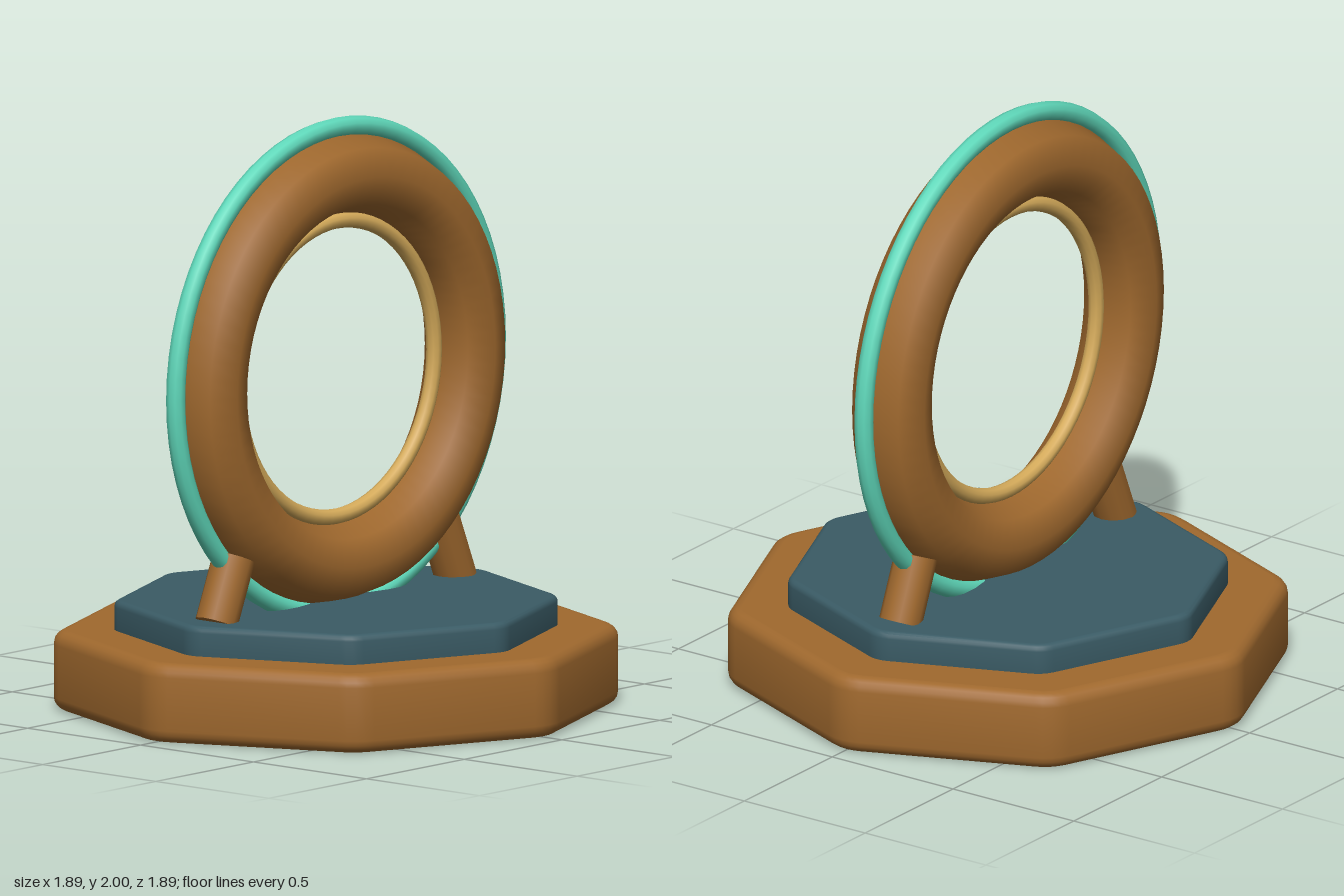
import * as THREE from 'three';
import { toCreasedNormals } from 'three/addons/utils/BufferGeometryUtils.js';

const RING_Y = 1.147;

// Octagon outline with a corner on each axis, every corner slightly rounded
function octagon(radius, cut) {
  const corner = (i) => new THREE.Vector2(
    Math.cos(i * Math.PI / 4) * radius, Math.sin(i * Math.PI / 4) * radius);
  const shape = new THREE.Shape();
  for (let i = 0; i < 8; i++) {
    const c = corner(i);
    const a = c.clone().add(corner(i - 1).sub(c).setLength(cut));
    const b = c.clone().add(corner(i + 1).sub(c).setLength(cut));
    if (i === 0) shape.moveTo(a.x, a.y);
    else shape.lineTo(a.x, a.y);
    shape.quadraticCurveTo(c.x, c.y, b.x, b.y);
  }
  shape.closePath();
  return shape;
}

// Octagonal slab with rounded rims, from y0 to y1
function slab(radius, y0, y1, bevel, cut) {
  const geo = new THREE.ExtrudeGeometry(octagon(radius - bevel * 1.08, cut), {
    depth: y1 - y0 - bevel * 2, bevelSize: bevel, bevelThickness: bevel,
    bevelSegments: 4, curveSegments: 4,
  });
  geo.rotateX(-Math.PI / 2);
  geo.translate(0, y0 + bevel, 0);
  const out = toCreasedNormals(geo, 0.45);
  // Keep the flat top and bottom evenly shaded
  const p = out.attributes.position, n = out.attributes.normal;
  for (let i = 0; i < p.count; i += 3) {
    const y = p.getY(i);
    if (Math.abs(p.getY(i + 1) - y) < 1e-5 && Math.abs(p.getY(i + 2) - y) < 1e-5) {
      const up = y > (y0 + y1) / 2 ? 1 : -1;
      for (let k = 0; k < 3; k++) n.setXYZ(i + k, 0, up, 0);
    }
  }
  return out;
}

export function createModel() {
  const group = new THREE.Group();
  const material = (name, color) => {
    const m = new THREE.MeshStandardMaterial({ color });
    m.name = name;
    return m;
  };
  const bronze = material('bronze', 0xa0692e);
  const slate = material('slate', 0x3a5b65);
  const teal = material('teal', 0x5fd8ba);
  const gold = material('gold', 0xd4aa5a);

  const add = (name, geo, mat, x = 0, y = 0, z = 0) => {
    const mesh = new THREE.Mesh(geo, mat);
    mesh.name = name;
    mesh.position.set(x, y, z);
    group.add(mesh);
    return mesh;
  };

  // Stepped pedestal
  add('base', slab(0.96, 0, 0.27, 0.045, 0.05), bronze);
  add('deck', slab(0.752, 0.22, 0.37, 0.022, 0.035), slate);

  // Upright portal: thick ring with an outer and an inner rim
  add('mainRing', new THREE.TorusGeometry(0.66, 0.135, 8, 72), bronze, 0, RING_Y);
  add('outerRim', new THREE.TorusGeometry(0.82, 0.033, 10, 72), teal, 0, RING_Y);
  add('innerRim', new THREE.TorusGeometry(0.502, 0.027, 10, 72), gold, 0, RING_Y);

  // Slanted posts bracing the ring, left and right
  for (const side of [1, -1]) {
    const post = add(side > 0 ? 'leftPost' : 'rightPost',
      new THREE.CylinderGeometry(0.073, 0.073, 0.23, 12), bronze, side * 0.567, 0.468);
    post.rotation.z = side * 0.4;
  }
  return group;
}
